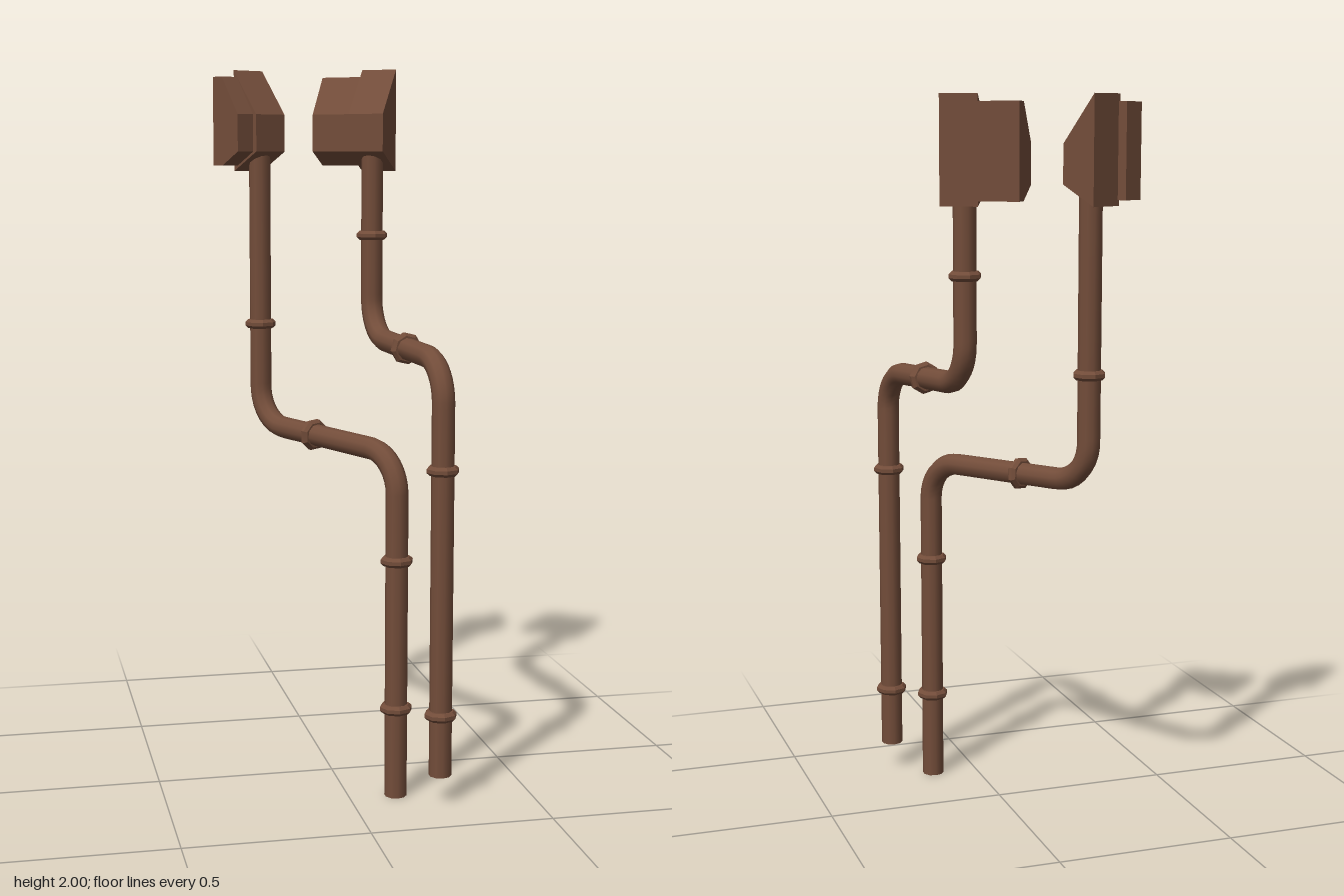
import * as THREE from 'three';

const PIPE_R = 0.031;
const BEND = 0.11;
const material = new THREE.MeshStandardMaterial({ color: 0x734d3a });
const flatMaterial = new THREE.MeshStandardMaterial({ color: 0x734d3a, flatShading: true });

function addMesh(parent, geometry, mat, name) {
  const mesh = new THREE.Mesh(geometry, mat);
  mesh.name = name;
  parent.add(mesh);
  return mesh;
}

// Polyline path with every inner corner rounded
function roundedPath(points) {
  const path = new THREE.CurvePath();
  let from = points[0];
  for (let i = 1; i < points.length - 1; i++) {
    const p = points[i];
    const toward = (q) => p.clone().add(q.clone().sub(p).setLength(BEND));
    const a = toward(points[i - 1]);
    const b = toward(points[i + 1]);
    path.add(new THREE.LineCurve3(from, a));
    // Handle length approximates a circular bend
    path.add(new THREE.CubicBezierCurve3(a, a.clone().lerp(p, 0.56), b.clone().lerp(p, 0.56), b));
    from = b;
  }
  path.add(new THREE.LineCurve3(from, points[points.length - 1]));
  return path;
}

// Bevelled eight-sided collar around the pipe
function addCollar(parent, position, direction) {
  const profile = [[0.028, -0.013], [0.037, -0.013], [0.045, -0.005], [0.045, 0.005], [0.037, 0.013], [0.028, 0.013]]
    .map(([r, y]) => new THREE.Vector2(r, y));
  const collar = addMesh(parent, new THREE.LatheGeometry(profile, 8), flatMaterial, 'collar');
  collar.position.copy(position);
  collar.quaternion.setFromUnitVectors(new THREE.Vector3(0, 1, 0), direction);
}

// Side profile [z, y] pulled along x from x0 to x1
function addProfileBox(parent, profile, x0, x1, name) {
  const shape = new THREE.Shape(profile.map(([z, y]) => new THREE.Vector2(z, y)));
  const geometry = new THREE.ExtrudeGeometry(shape, { depth: x1 - x0, bevelEnabled: false });
  geometry.rotateY(-Math.PI / 2).translate(x1, 0, 0);
  addMesh(parent, geometry, flatMaterial, name);
}

function makeDownpipe({ name, bottom, top, startY, lowY, highY, lowCollars, midCollar, highCollar, turn, sideWidth }) {
  const group = new THREE.Group();
  group.name = name;
  const at = ([x, z], y) => new THREE.Vector3(x, y, z);
  const low = at(bottom, lowY);
  const high = at(top, highY);

  // Pipe with closed ends
  const path = roundedPath([at(bottom, startY), low, high, at(top, 1.78)]);
  addMesh(group, new THREE.TubeGeometry(path, 110, PIPE_R, 10), material, 'pipe');
  const cap = addMesh(group, new THREE.CircleGeometry(PIPE_R, 10), flatMaterial, 'pipeEnd');
  cap.rotation.x = Math.PI / 2;
  cap.position.copy(at(bottom, startY + 0.001));

  // Collars on the upright and sloping runs
  const up = new THREE.Vector3(0, 1, 0);
  for (const y of lowCollars) addCollar(group, at(bottom, y), up);
  addCollar(group, low.clone().lerp(high, midCollar), high.clone().sub(low).normalize());
  addCollar(group, at(top, highCollar), up);

  // Rainwater hopper: main funnel box and a smaller side box
  const hopper = new THREE.Group();
  hopper.name = 'hopper';
  hopper.position.set(top[0], 0, top[1]);
  hopper.rotation.y = turn;
  addProfileBox(hopper, [[-0.052, 1.713], [0.051, 1.768], [0.051, 1.873], [-0.052, 2]],
    -0.052, 0.052, 'hopperBox');
  addProfileBox(hopper, [[-0.079, 1.728], [-0.037, 1.728], [0.036, 1.768], [0.036, 1.873], [-0.037, 1.98], [-0.079, 1.98]],
    -0.046 - sideWidth, -0.046, 'hopperSideBox');
  group.add(hopper);
  return group;
}

export function createModel() {
  const model = new THREE.Group();
  model.name = 'downpipes';
  model.add(makeDownpipe({
    name: 'rightDownpipe', bottom: [0.13, 0.24], top: [-0.15, -0.3],
    startY: 0, lowY: 0.958, highY: 0.978,
    lowCollars: [0.25, 0.665], midCollar: 0.59, highCollar: 1.27,
    turn: 0.5, sideWidth: 0.061,
  }));
  model.add(makeDownpipe({
    name: 'leftDownpipe', bottom: [0.234, 0.325], top: [0.156, -0.178],
    startY: 0.08, lowY: 1.215, highY: 1.24,
    lowCollars: [0.25, 0.925], midCollar: 0.5, highCollar: 1.53,
    turn: -0.607, sideWidth: 0.124,
  }));
  return model;
}
